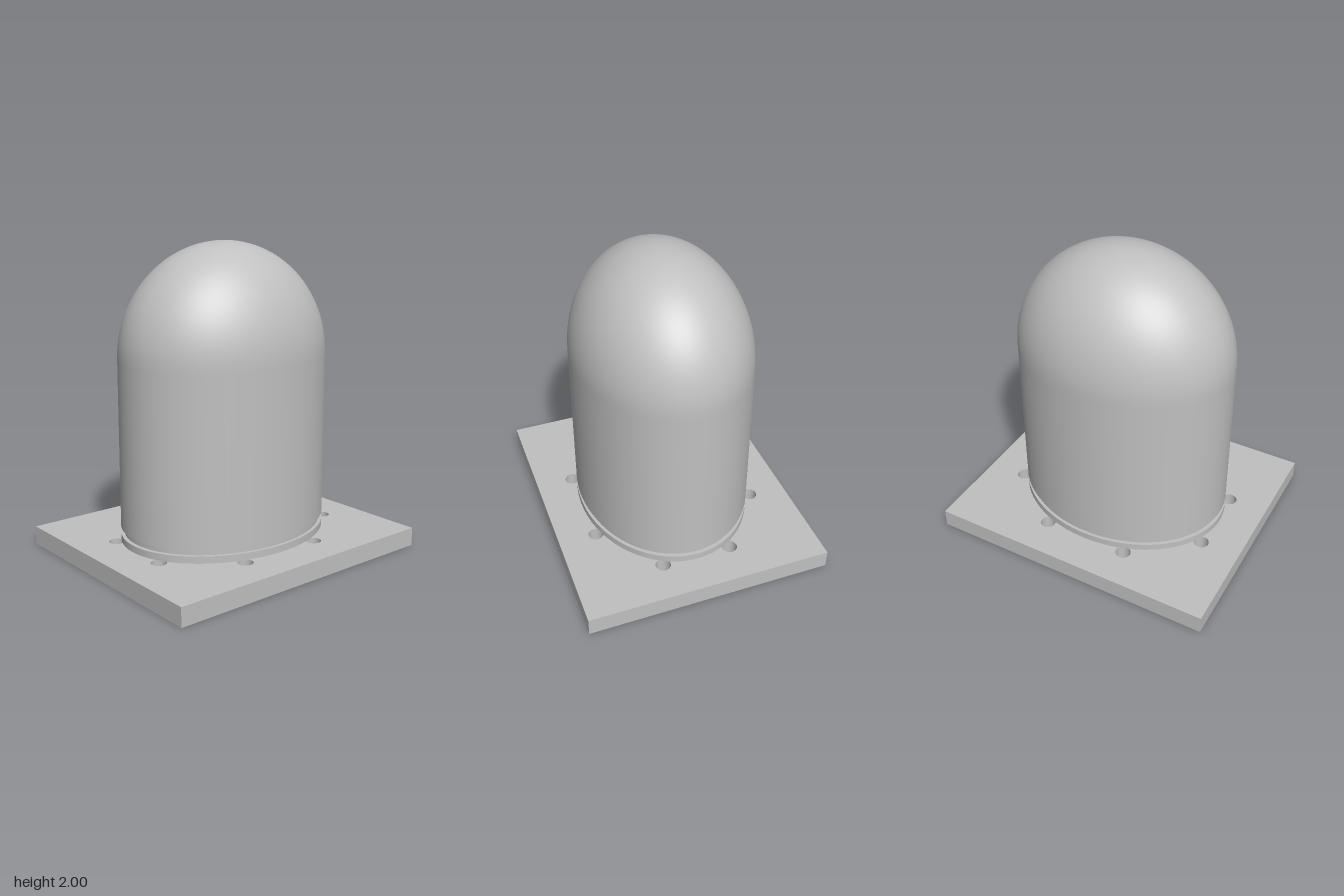
import * as THREE from 'three';

const RX = 0.715, RZ = 0.565, GROOVE = 0.69;
const PLATE_TOP = 0.12, RIM_TOP = 0.165, BODY_BOTTOM = 0.21, DOME_BASE = 1.285, TOP = 2;

export function createModel() {
  const group = new THREE.Group();
  const grey = new THREE.MeshStandardMaterial({ color: 0xc0c0c0 });
  grey.name = 'grey';

  const add = (name, geometry) => {
    const mesh = new THREE.Mesh(geometry, grey);
    mesh.name = name;
    group.add(mesh);
  };

  // Elliptical surface swept from a profile of [radius, height] points, listed bottom to top
  const sweep = (name, profile) => {
    const points = profile.map(([r, y]) => new THREE.Vector2(r, y));
    add(name, new THREE.LatheGeometry(points, 96).scale(1, 1, RZ / RX));
  };

  // Base plate with a ring of eight bolt holes
  const plate = new THREE.Shape([
    new THREE.Vector2(-0.955, -0.805), new THREE.Vector2(0.955, -0.805),
    new THREE.Vector2(0.955, 0.805), new THREE.Vector2(-0.955, 0.805),
  ]);
  for (let i = 0; i < 8; i++) {
    const a = (i + 0.5) * Math.PI / 4;
    const hole = new THREE.Path();
    hole.absarc(0.747 * Math.cos(a), 0.6 * Math.sin(a), 0.049, 0, Math.PI * 2, true);
    plate.holes.push(hole);
  }
  const plateGeometry = new THREE.ExtrudeGeometry(plate, { depth: PLATE_TOP, bevelEnabled: false, curveSegments: 16 });
  add('basePlate', plateGeometry.rotateX(-Math.PI / 2));

  // Foot rim, groove and their sharp-edged shelves
  sweep('rimUnderside', [[0, PLATE_TOP], [RX, PLATE_TOP]]);
  sweep('rim', [[RX, PLATE_TOP], [RX, RIM_TOP]]);
  sweep('rimShelf', [[RX, RIM_TOP], [GROOVE, RIM_TOP]]);
  sweep('groove', [[GROOVE, RIM_TOP], [GROOVE, BODY_BOTTOM]]);
  sweep('bodyLip', [[GROOVE, BODY_BOTTOM], [RX, BODY_BOTTOM]]);

  // Straight body running smoothly into the dome
  const body = [[RX, BODY_BOTTOM], [RX, DOME_BASE - 0.02]];
  const steps = 32;
  for (let i = 0; i <= steps; i++) {
    const a = (i / steps) * Math.PI / 2;
    body.push([i === steps ? 0 : RX * Math.cos(a), DOME_BASE + (TOP - DOME_BASE) * Math.sin(a)]);
  }
  sweep('domedBody', body);

  return group;
}
